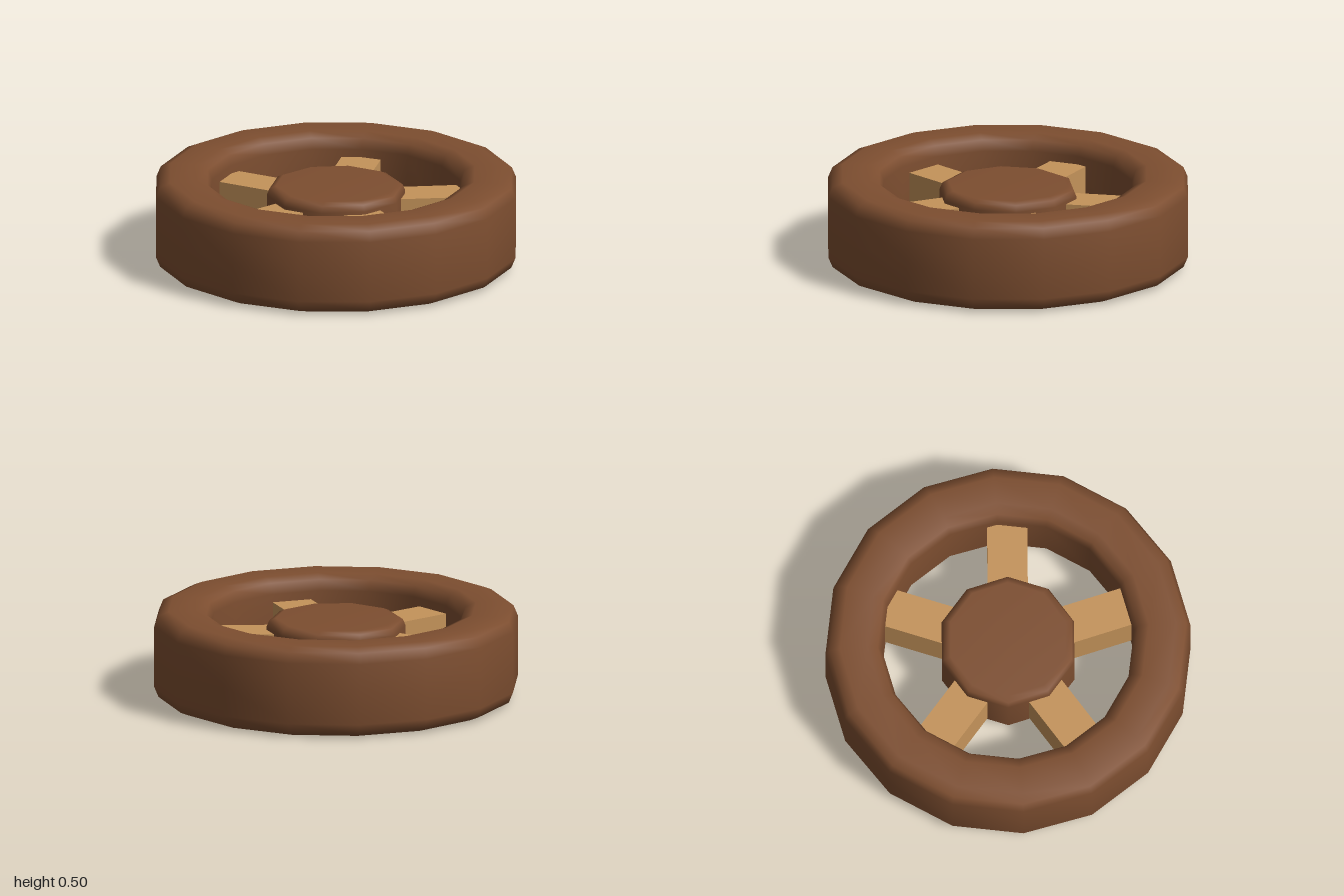
import * as THREE from 'three';

const darkWood = new THREE.MeshStandardMaterial({ color: 0x7d4e30 });
darkWood.name = 'darkWood';
const lightWood = new THREE.MeshStandardMaterial({ color: 0xc4935a });
lightWood.name = 'lightWood';

// Quarter-round corner points around (cx, cy), starting at angle a0
function corner(cx, cy, radius, a0, steps = 2) {
  const points = [];
  for (let i = 0; i <= steps; i++) {
    const a = a0 + (i / steps) * Math.PI / 2;
    points.push(new THREE.Vector2(cx + radius * Math.cos(a), cy + radius * Math.sin(a)));
  }
  return points;
}

function addMesh(group, name, geometry, material) {
  const mesh = new THREE.Mesh(geometry, material);
  mesh.name = name;
  group.add(mesh);
  return mesh;
}

export function createModel() {
  const wheel = new THREE.Group();
  wheel.name = 'wheel';

  // Rim: closed rounded-rectangle section turned in 16 sides
  const b = 0.08, outer = 1, inner = 0.69, height = 0.5;
  const rimProfile = [
    new THREE.Vector2(outer, height / 2),
    ...corner(outer - b, height - b, b, 0),
    ...corner(inner + b, height - b, b, Math.PI / 2),
    ...corner(inner + b, b, b, Math.PI),
    ...corner(outer - b, b, b, Math.PI * 1.5),
    new THREE.Vector2(outer, height / 2),
  ];
  addMesh(wheel, 'rim', new THREE.LatheGeometry(rimProfile, 16), darkWood);

  // Hub: ten-sided drum with softened edges
  const r = 0.38, low = 0.06, high = 0.44, h = 0.05;
  const hubProfile = [
    new THREE.Vector2(0, low),
    ...corner(r - h, low + h, h, Math.PI * 1.5),
    ...corner(r - h, high - h, h, 0),
    new THREE.Vector2(0, high),
  ];
  addMesh(wheel, 'hub', new THREE.LatheGeometry(hubProfile, 10), darkWood);

  // Five spokes, the first pointing to the back
  const spokeGeometry = new THREE.BoxGeometry(0.22, 0.25, 0.55);
  spokeGeometry.translate(0, 0.25, -0.5);
  for (let i = 0; i < 5; i++) {
    const spoke = addMesh(wheel, 'spoke' + (i + 1), spokeGeometry, lightWood);
    spoke.rotation.y = (i * Math.PI * 2) / 5;
  }

  return wheel;
}
